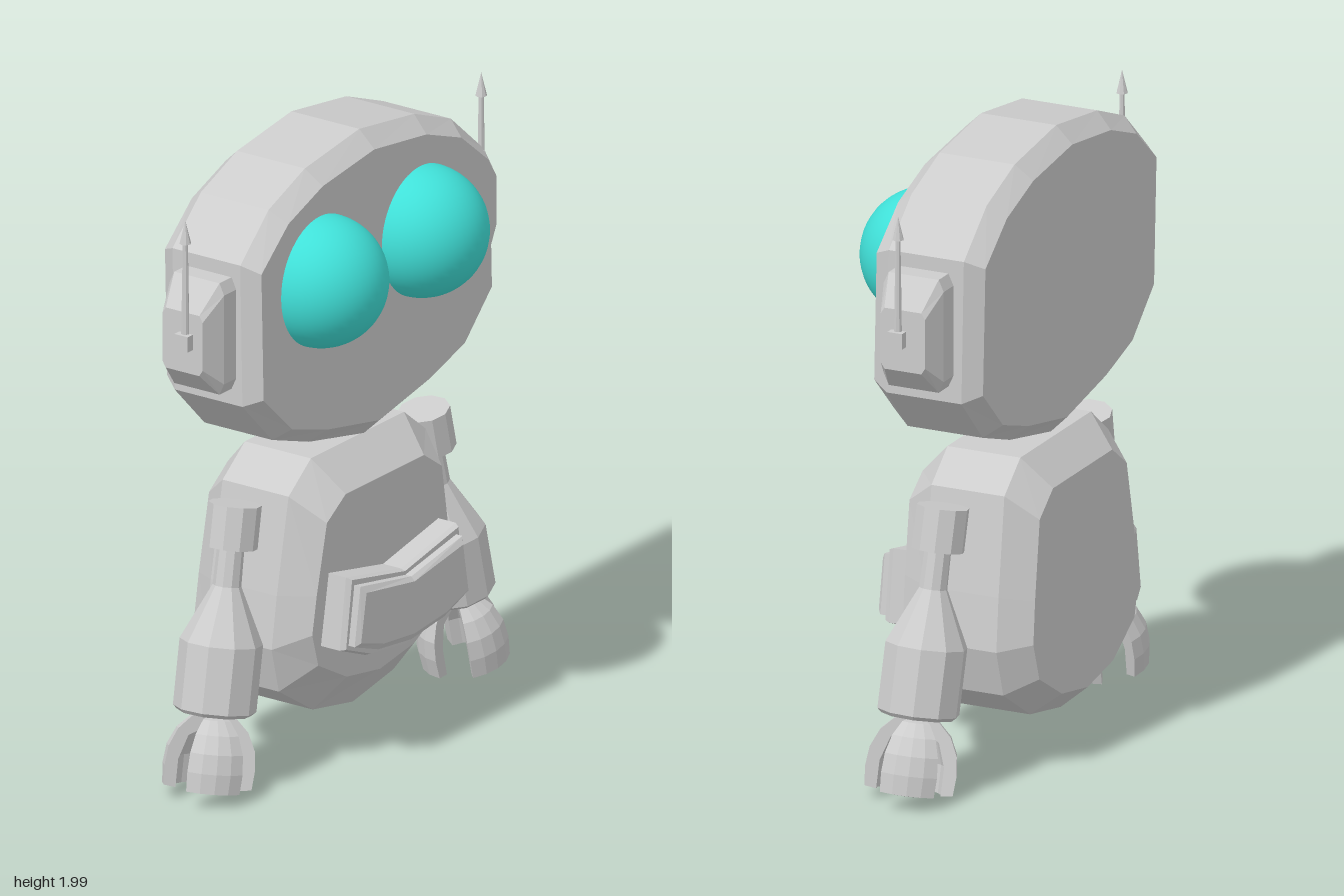
import * as THREE from 'three';

const grey = new THREE.MeshStandardMaterial({ color: 0xcccccc });
grey.name = 'light grey shell';
const turquoise = new THREE.MeshStandardMaterial({ color: 0x40e0d8 });
turquoise.name = 'turquoise eyes';

// Separate the faces so that every facet is flat
function faceted(geometry) {
  const g = geometry.index ? geometry.toNonIndexed() : geometry;
  g.computeVertexNormals();
  return g;
}

function part(name, geometry, material = grey) {
  const mesh = new THREE.Mesh(geometry, material);
  mesh.name = name;
  return mesh;
}

// Completes a half outline (bottom to top, x >= 0) into a counter-clockwise loop
function mirrored(half) {
  const other = half.filter(([x]) => x > 0).reverse().map(([x, y]) => [-x, y]);
  return [...half, ...other];
}

// Bevelled slab: one outline scaled into rings [scaleX, scaleY, z, centreY], back to front
function slab(outline, rings, lean = 0) {
  const n = outline.length;
  const pos = [];
  const index = [];
  const midY = (Math.min(...outline.map((p) => p[1])) + Math.max(...outline.map((p) => p[1]))) / 2;
  for (const [sx, sy, z, cy = midY] of rings) {
    for (const [x, y] of outline) pos.push(x * sx, cy + (y - midY) * sy, z + lean * (y - midY));
  }
  for (let r = 0; r < rings.length - 1; r++) {
    for (let i = 0; i < n; i++) {
      const a = r * n + i, b = r * n + (i + 1) % n;
      index.push(a, b, b + n, a, b + n, a + n);
    }
  }
  // end caps
  const back = pos.length / 3, front = back + 1, last = (rings.length - 1) * n;
  pos.push(0, rings[0][3] ?? midY, rings[0][2], 0, rings.at(-1)[3] ?? midY, rings.at(-1)[2]);
  for (let i = 0; i < n; i++) {
    const j = (i + 1) % n;
    index.push(back, j, i, front, last + i, last + j);
  }
  const g = new THREE.BufferGeometry();
  g.setAttribute('position', new THREE.Float32BufferAttribute(pos, 3));
  g.setIndex(index);
  return faceted(g);
}

// Claw finger: a curved section swept around the wrist axis
function fingerGeometry() {
  const section = new THREE.Shape([
    [0.01, -0.04], [0.075, -0.075], [0.1, -0.15], [0.1, -0.238], [0.137, -0.232],
    [0.142, -0.17], [0.135, -0.11], [0.11, -0.055], [0.07, -0.015], [0.01, 0],
  ].map(([x, y]) => new THREE.Vector2(x, y)));
  const sweep = 1.3;
  const g = new THREE.ExtrudeGeometry(section, { depth: sweep, steps: 4, bevelEnabled: false });
  const p = g.attributes.position;
  for (let i = 0; i < p.count; i++) {
    const r = p.getX(i), a = p.getZ(i) - sweep / 2;
    p.setXYZ(i, r * Math.cos(a), p.getY(i), r * Math.sin(a));
  }
  return faceted(g);
}

function arm(side) {
  const group = new THREE.Group();
  group.name = side > 0 ? 'leftArm' : 'rightArm';
  const profile = [[0, 0], [0.115, 0], [0.128, 0.012], [0.128, 0.22], [0.044, 0.395],
    [0.042, 0.51], [0.082, 0.515], [0.082, 0.65], [0, 0.65]]
    .map(([x, y]) => new THREE.Vector2(x, y));
  group.add(part('armShell', faceted(new THREE.LatheGeometry(profile, 10))));
  const finger = fingerGeometry();
  const first = side > 0 ? 98 : 135;
  for (let i = 0; i < 3; i++) {
    const mesh = part('clawFinger', finger);
    mesh.rotation.y = -THREE.MathUtils.degToRad(first + i * 120);
    group.add(mesh);
  }
  group.position.set(side * 0.627 - 0.008, 0.267, -0.05);
  group.rotation.set(-0.03, 0, side * 0.21);
  return group;
}

function earWithAntenna(side) {
  const group = new THREE.Group();
  group.name = side > 0 ? 'leftEar' : 'rightEar';
  // ear pad, built facing +z and turned outwards
  const outline = mirrored([[0.085, -0.182], [0.102, -0.145], [0.102, 0.145], [0.085, 0.182]]);
  const pad = part('earPad', slab(outline, [[1, 1, -0.03], [1, 1, 0.065], [0.74, 0.54, 0.14, -0.005]]));
  pad.rotation.y = side * Math.PI / 2;
  pad.position.set(0, 1.523, -0.067);
  group.add(pad);
  // antenna socket, rod and pointed tip
  const socket = part('antennaSocket', new THREE.BoxGeometry(0.035, 0.05, 0.05));
  socket.position.set(side * 0.15, 1.525, -0.053);
  const rod = part('antennaRod', faceted(new THREE.CylinderGeometry(0.008, 0.013, 0.32, 8)));
  rod.position.set(side * 0.145, 1.69, -0.053);
  const tip = part('antennaTip', faceted(new THREE.ConeGeometry(0.018, 0.075, 8)));
  tip.position.set(side * 0.145, 1.882, -0.053);
  group.add(socket, rod, tip);
  group.position.x = side * 0.627 - 0.01;
  return group;
}

export function createModel() {
  const model = new THREE.Group();
  model.name = 'robot';

  // head
  const headOutline = mirrored([[0, 1.01], [0.285, 1.07], [0.475, 1.135], [0.627, 1.29],
    [0.627, 1.75], [0.475, 1.885], [0.285, 1.96], [0, 2]]);
  const head = part('head', slab(headOutline,
    [[0.94, 0.89, -0.255], [1, 1, -0.2], [1, 1, 0.055], [0.95, 0.89, 0.112]], -0.018));
  head.position.x = -0.012;
  model.add(head);

  // eyes
  for (const x of [-0.3, 0.225]) {
    const eye = part('eye', new THREE.SphereGeometry(0.208, 40, 28), turquoise);
    eye.position.set(x, 1.61, 0.111);
    model.add(eye);
  }

  // body
  const bodyOutline = mirrored([[0, 0.125], [0.21, 0.165], [0.39, 0.28], [0.432, 0.43],
    [0.41, 0.6], [0.357, 0.91], [0.243, 1]]);
  const body = part('body', slab(bodyOutline, [[0.84, 0.8, -0.305, 0.553], [1, 1, -0.213],
    [1, 1, 0.035], [0.84, 0.73, 0.138, 0.575]], 0.02));
  body.position.x = -0.018;
  model.add(body);

  // belly pouch: base plate and raised panel
  const pouchOutline = mirrored([[0, 0.35], [0.185, 0.375], [0.318, 0.43], [0.286, 0.66], [0, 0.6]]);
  const pouch = part('pouch', slab(pouchOutline,
    [[1, 1, 0.11], [1, 1, 0.205], [0.97, 0.95, 0.222]]));
  const panel = part('pouchPanel', slab(pouchOutline,
    [[0.93, 0.82, 0.21], [0.93, 0.82, 0.245], [0.88, 0.68, 0.258]]));
  pouch.position.x = panel.position.x = -0.016;
  model.add(pouch, panel);

  for (const side of [-1, 1]) model.add(earWithAntenna(side), arm(side));
  return model;
}
